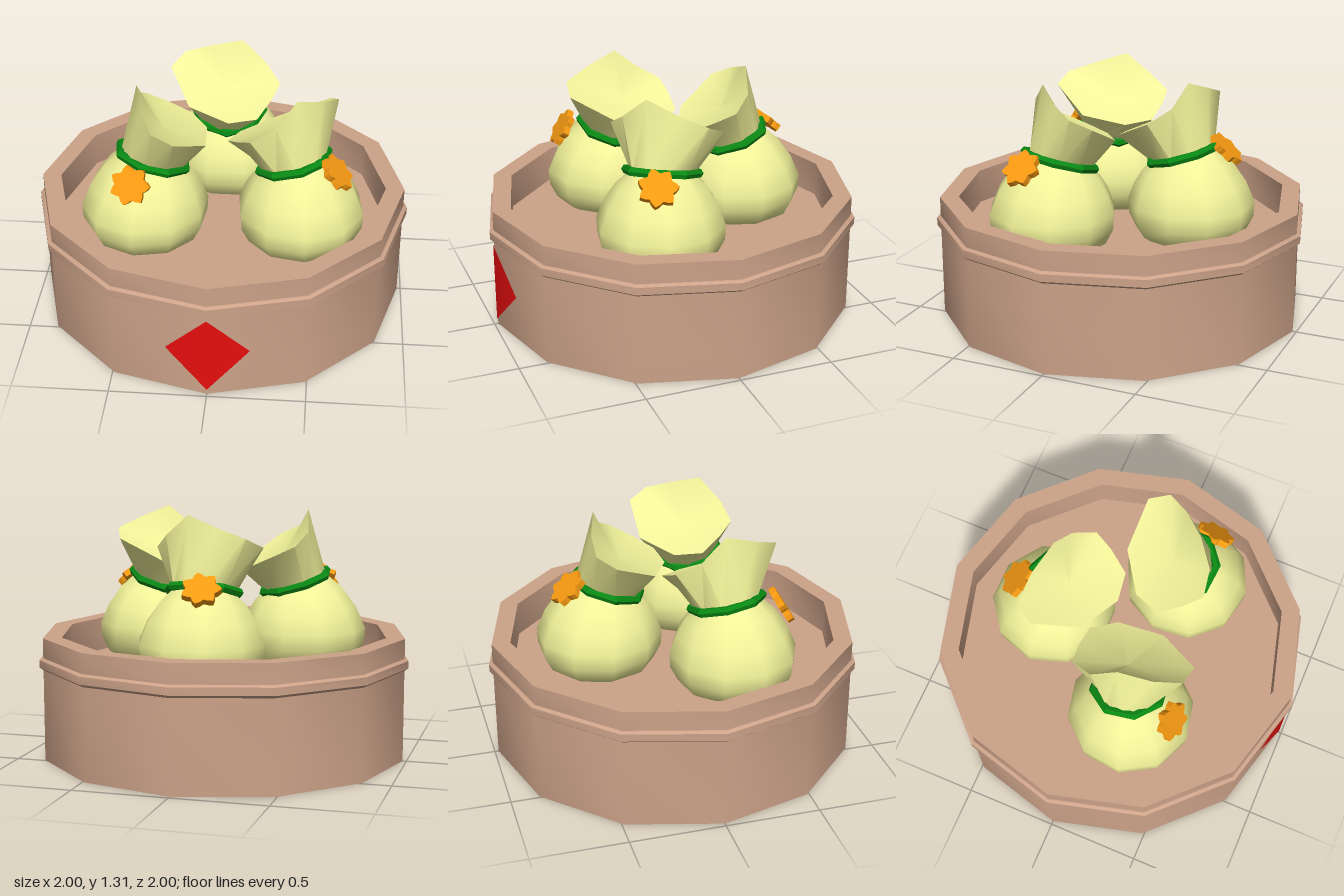
import * as THREE from 'three';
import { toCreasedNormals } from 'three/addons/utils/BufferGeometryUtils.js';

const SIDES = 10;
const mat = (color, extra = {}) => new THREE.MeshStandardMaterial({ color, ...extra });
const wood = mat(0xcda389);
const dough = mat(0xf2f29a, { side: THREE.DoubleSide });
const green = mat(0x0a8a14, { flatShading: true });
const orange = mat(0xf79a12, { flatShading: true });
const red = mat(0xe60e0e, { side: THREE.DoubleSide });

function add(parent, name, geometry, material) {
  const mesh = new THREE.Mesh(geometry, material);
  mesh.name = name;
  parent.add(mesh);
  return mesh;
}

// One horizontal loop; slope lowers it towards +z, shift moves its centre
function ring([y, r, shift = 0, slope = 0]) {
  return Array.from({ length: SIDES }, (_, i) => {
    const a = (i / SIDES) * Math.PI * 2;
    const z = Math.sin(a) * r;
    return [Math.cos(a) * r, y - slope * z, z + shift];
  });
}

// Skin a stack of loops, with an optional fan closing the top
function loft(loops, tip) {
  const out = [];
  loops.slice(1).forEach((up, k) => {
    const low = loops[k];
    for (let i = 0; i < SIDES; i++) {
      const j = (i + 1) % SIDES;
      out.push(...low[i], ...up[i], ...low[j], ...low[j], ...up[i], ...up[j]);
    }
  });
  if (tip) {
    const top = loops[loops.length - 1];
    for (let i = 0; i < SIDES; i++) out.push(...tip, ...top[(i + 1) % SIDES], ...top[i]);
  }
  const g = new THREE.BufferGeometry();
  g.setAttribute('position', new THREE.Float32BufferAttribute(out, 3));
  return toCreasedNormals(g, 0.8);
}

// Flat seven-petalled flower
function flowerGeometry() {
  const shape = new THREE.Shape();
  const n = 28;
  for (let i = 0; i < n; i++) {
    const a = (i / n) * Math.PI * 2;
    const r = 0.091 + 0.014 * Math.cos(7 * a);
    shape[i ? 'lineTo' : 'moveTo'](Math.cos(a) * r, Math.sin(a) * r);
  }
  return new THREE.ExtrudeGeometry(shape, { depth: 0.035, bevelEnabled: false }).translate(0, 0, -0.0175);
}

// Pouch standing at its own origin, opening towards +z
function createPouch() {
  const pouch = new THREE.Group();
  const neck = [0.91, 0.165, 0.05, 0.3];
  const body = [[0.44, 0.2], [0.5, 0.29], [0.58, 0.33], [0.66, 0.335],
    [0.76, 0.295, 0.01, 0.05], [0.85, 0.235, 0.03, 0.15], neck];
  add(pouch, 'pouchBody', loft(body.map(ring)), dough);

  // Ragged flared rim, with a sunken centre
  const rim = [[0.28, 1.13, 0.14], [0.24, 1.08, 0.24], [0.17, 1.02, 0.35], [0.02, 1.0, 0.37],
    [-0.2, 1.03, 0.26], [-0.32, 1.15, 0.03], [-0.25, 1.2, -0.06], [-0.1, 1.25, -0.05],
    [0.07, 1.31, 0], [0.2, 1.2, 0.04]];
  add(pouch, 'pouchFrill', loft([ring(neck), rim], [0, 1.07, 0.11]), dough);

  const ribbon = add(pouch, 'ribbon', new THREE.TorusGeometry(0.187, 0.024, 6, 8), green);
  ribbon.position.set(0, 0.915, 0.05);
  ribbon.rotation.x = Math.PI / 2 + 0.3;
  return pouch;
}

export function createModel() {
  const model = new THREE.Group();
  model.name = 'steamerBasket';

  // Twelve-sided basket with a raised band and a recessed floor
  const profile = [[0, 0], [0.98, 0], [0.98, 0.485], [1, 0.5], [1, 0.54], [0.985, 0.55],
    [0.98, 0.55], [0.98, 0.655], [0.88, 0.655], [0.88, 0.47], [0, 0.47]]
    .map(([r, y]) => new THREE.Vector2(r, y));
  add(model, 'basket', toCreasedNormals(new THREE.LatheGeometry(profile, 12), 0.6), wood);

  // Diamond folded around the front corner
  const diamond = new THREE.BufferGeometry();
  const w = 0.213, zMid = 0.985, zSide = zMid - w * Math.tan(Math.PI / 12);
  diamond.setAttribute('position', new THREE.Float32BufferAttribute(
    [0, 0.03, zMid, w, 0.247, zSide, 0, 0.463, zMid, -w, 0.247, zSide], 3));
  diamond.setIndex([0, 1, 2, 0, 2, 3]);
  diamond.computeVertexNormals();
  add(model, 'diamond', diamond, red);

  // Three pouches facing the middle, each with a flower: [x, y, z], facing angle
  const pouches = [
    { name: 'backPouch', at: [0.01, -0.4], turn: 0, flower: [-0.04, 0.95, -0.57], face: Math.PI + 0.2, lift: 0.85 },
    { name: 'leftPouch', at: [0.43, 0.21], turn: -2.09, flower: [0.61, 0.92, 0.29], face: 1.35, lift: 0.8 },
    { name: 'rightPouch', at: [-0.39, 0.22], turn: 2.09, flower: [-0.43, 0.9, 0.465], face: -0.1, lift: 0.55 },
  ];
  for (const p of pouches) {
    const pouch = createPouch();
    pouch.name = p.name;
    pouch.position.set(p.at[0], 0, p.at[1]);
    pouch.rotation.y = p.turn;
    model.add(pouch);
    const flower = add(model, p.name + 'Flower', flowerGeometry(), orange);
    flower.position.set(...p.flower);
    flower.rotation.set(-p.lift, p.face, 0, 'YXZ');
  }
  return model;
}
